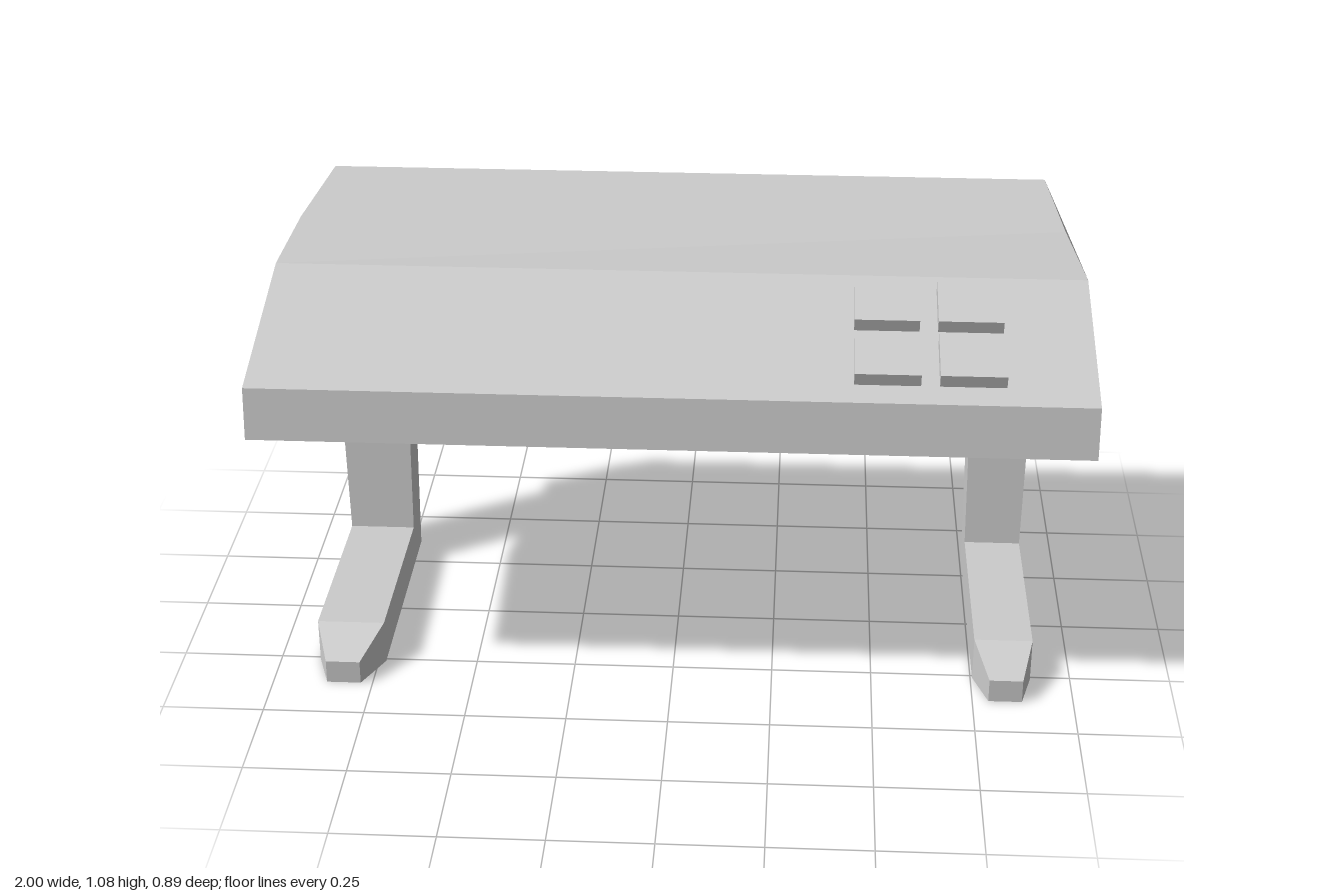
import * as THREE from 'three';

const material = new THREE.MeshStandardMaterial({ color: 0xcccccc, flatShading: true, side: THREE.DoubleSide });

// Flat-shaded open shell from polygons of 3 or 4 corners
function shell(name, faces) {
  const pos = [];
  for (const f of faces) {
    for (let i = 1; i < f.length - 1; i++) pos.push(...f[0], ...f[i], ...f[i + 1]);
  }
  const geo = new THREE.BufferGeometry();
  geo.setAttribute('position', new THREE.Float32BufferAttribute(pos, 3));
  geo.computeVertexNormals();
  return named(name, geo);
}

function named(name, geo) {
  const mesh = new THREE.Mesh(geo, material);
  mesh.name = name;
  return mesh;
}

// Hollow housing: a side outline [x, y, z], mirrored and bridged across
function createHousing() {
  const R = [
    [1, 0.722, 0.447], [1, 0.85, 0.432], [1, 0.975, -0.02], [0.945, 1.07, -0.095],
    [0.92, 1.07, -0.445], [0.945, 0.975, -0.445], [0.945, 0.715, -0.445], [1, 0.7, -0.02],
  ];
  const L = R.map(([x, y, z]) => [-x, y, z]);
  const faces = [];
  for (let i = 0; i < 6; i++) faces.push([L[i], R[i], R[i + 1], L[i + 1]]);
  for (const s of [[0, 7, 2, 1], [7, 6, 5, 2], [2, 5, 4, 3]]) {
    faces.push(s.map((i) => R[i]), s.map((i) => L[i]).reverse());
  }
  // partial floor along the ends, the middle stays open
  const inner = (p) => [0.85, p[1], p[2]];
  faces.push([R[0], inner(R[0]), inner(R[7]), R[7]]);
  faces.push([R[7], inner(R[7]), inner(R[6]), R[6]]);
  faces.push([L[0], L[7], [-0.93, 0.722, 0.447]]);
  return shell('housing', faces);
}

// L-shaped leg lofted through quads: [under z, under y, upper z, upper y, x min, x max]
function createLeg(name, sections) {
  const rings = sections.map(([z0, y0, z1, y1, a, b]) => [[a, y0, z0], [b, y0, z0], [b, y1, z1], [a, y1, z1]]);
  const faces = [rings[0]];
  for (let i = 0; i < rings.length - 1; i++) {
    const p = rings[i], q = rings[i + 1];
    for (let k = 0; k < 4; k++) {
      if (k === 0 && i < 2) continue; // underside of the foot is open
      const n = (k + 1) % 4;
      faces.push([p[k], q[k], q[n], p[n]]);
    }
  }
  return shell(name, faces);
}

const legSections = (toe, foot, top) => [
  [0.365, 0, 0.365, 0.06, ...toe],
  [0.26, 0, 0.26, 0.113, ...foot],
  [-0.36, 0, -0.25, 0.105, ...foot],
  [-0.39, 0.42, -0.271, 0.42, ...top],
  [-0.402, 0.725, -0.28, 0.725, ...top],
];

export function createModel() {
  const model = new THREE.Group();
  model.name = 'consoleOnStand';
  model.add(createHousing());

  // Stand
  model.add(createLeg('rightLeg', legSections([-0.865, -0.78], [-0.9, -0.732], [-0.91, -0.732])));
  model.add(createLeg('leftLeg', legSections([0.79, 0.873], [0.755, 0.9], [0.752, 0.906])));
  const bar = named('crossbar', new THREE.BoxGeometry(1.49, 0.125, 0.114));
  bar.position.set(0.01, 0.487, -0.334);
  model.add(bar);

  // Sloped control panel, local y = 0 on its surface
  const slope = Math.atan2(0.125, 0.452);
  const panel = new THREE.Group();
  panel.name = 'controlPanel';
  panel.position.set(0, 0.9125, 0.206);
  panel.rotation.x = slope;

  for (let i = 0; i < 8; i++) {
    const slider = named('slider', new THREE.PlaneGeometry(0.07, 0.375).rotateX(-Math.PI / 2));
    slider.position.set(-0.75 + i * 0.144, 0.022, 0);
    panel.add(slider);
  }
  for (const x of [0.508, 0.708]) {
    for (const z of [-0.103, 0.094]) {
      const pad = named('pad', new THREE.BoxGeometry(0.156, 0.036, 0.154));
      pad.position.set(x, 0.015, z);
      panel.add(pad);
    }
  }
  model.add(panel);

  // Flat tiles just above the rear deck
  for (const x of [-0.597, -0.392, -0.188, 0.017, 0.22, 0.507, 0.707]) {
    const tile = named('deckTile', new THREE.PlaneGeometry(0.155, 0.13).rotateX(-Math.PI / 2));
    tile.position.set(x, 1.079, -0.255);
    model.add(tile);
  }
  return model;
}
